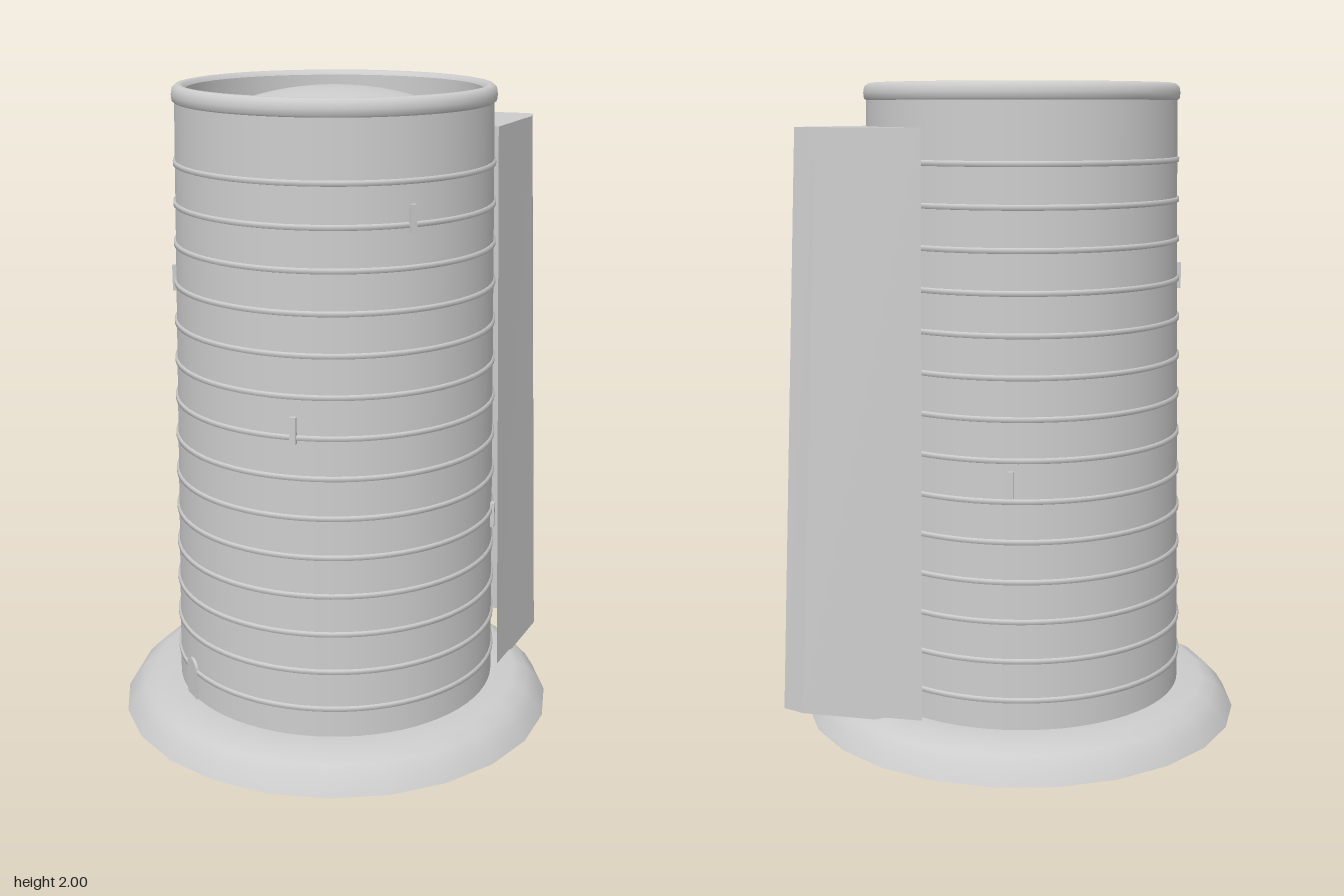
import * as THREE from 'three';

const CX = -0.055; // tower axis
const bodyRadius = (y) => 0.515 - (0.037 * (y - 0.09)) / 1.86;

export function createModel() {
  const model = new THREE.Group();
  const stone = new THREE.MeshStandardMaterial({ color: 0xcccccc, side: THREE.DoubleSide });
  stone.name = 'pale grey stone';

  const add = (name, geometry, parent) => {
    const mesh = new THREE.Mesh(geometry, stone);
    mesh.name = name;
    parent.add(mesh);
    return mesh;
  };
  const lathe = (points, segments) =>
    new THREE.LatheGeometry(points.map(([r, y]) => new THREE.Vector2(r, y)), segments);

  const tower = new THREE.Group();
  tower.name = 'tower';
  tower.position.x = CX;
  model.add(tower);

  // Tapered shaft with a closed underside
  add('shaft', lathe([[bodyRadius(0.09), 0.09], [bodyRadius(1.95), 1.95]], 72), tower);
  const underside = add('shaftUnderside', new THREE.CircleGeometry(0.515, 72), tower);
  underside.rotation.x = Math.PI / 2;
  underside.position.y = 0.09;

  // Rounded rim and its inner wall
  add('rim', lathe([[0.477, 1.947], [0.485, 1.953], [0.487, 1.97], [0.484, 1.988], [0.473, 1.998],
    [0.462, 2], [0.452, 1.996], [0.445, 1.985]], 72), tower);
  add('rimInnerWall', lathe([[0.445, 1.985], [0.445, 1.78]], 72), tower);

  // Shallow domed roof sunk inside the rim
  const dome = add('domedRoof', new THREE.SphereGeometry(0.445, 64, 16, 0, Math.PI * 2, 0, Math.PI / 2), tower);
  dome.scale.y = 0.2 / 0.445;
  dome.position.y = 1.79;

  // Evenly spaced raised bands
  for (let i = 0; i < 14; i++) {
    const y = 0.192 + i * 0.1214;
    const r = bodyRadius(y);
    const h = 0.009;
    add('band' + (i + 1), lathe([[r - 0.002, y - h], [r + 0.006, y - h * 0.7],
      [r + 0.006, y + h * 0.7], [r - 0.002, y + h]], 72), tower);
  }

  // Flared open skirt and the square footing beneath
  add('skirt', lathe([[0.697, 0], [0.672, 0.042], [0.64, 0.076], [0.595, 0.099], [0.512, 0.1]], 24), tower);
  add('footing', new THREE.BoxGeometry(0.57, 0.09, 0.57), tower).position.y = 0.047;

  // Window slits: x, z direction from the axis and height
  const slits = [[-0.015, 0.49, 1.667], [-0.335, 0.37, 1.065], [0.39, 0.33, 0.66],
    [0.235, -0.45, 0.85], [-0.445, -0.22, 1.41]];
  slits.forEach(([x, z, y], i) => {
    const angle = Math.atan2(x, z);
    const r = bodyRadius(y) + 0.003;
    const slit = add('windowSlit' + (i + 1), new THREE.BoxGeometry(0.02, 0.08, 0.018), tower);
    slit.position.set(Math.sin(angle) * r, y, Math.cos(angle) * r);
    slit.rotation.y = angle;
  });

  // Arched door on the side opposite the buttress
  const arch = new THREE.Shape();
  arch.moveTo(-0.035, 0);
  arch.lineTo(0.035, 0);
  arch.lineTo(0.035, 0.095);
  arch.absarc(0, 0.095, 0.035, 0, Math.PI, false);
  arch.lineTo(-0.035, 0);
  const door = add('door', new THREE.ExtrudeGeometry(arch, { depth: 0.009, bevelEnabled: false, curveSegments: 8 }), tower);
  door.rotation.y = -Math.PI / 2;
  door.position.set(-0.511, 0.1, 0);

  // Wedge buttress: pointed plan lofted from bottom to top, open below
  const bottom = [[0.4, 0.285], [0.707, 0.063], [0.75, 0], [0.707, -0.063], [0.4, -0.285]];
  const top = [[0.37, 0.25], [0.625, 0.06], [0.67, 0], [0.625, -0.06], [0.37, -0.25]];
  const corner = (plan, i, y) => [plan[i][0], y, plan[i][1]];
  const verts = [];
  for (let i = 0; i < 4; i++) {
    const a = corner(bottom, i, 0.09), b = corner(bottom, i + 1, 0.09);
    const c = corner(top, i + 1, 1.87), d = corner(top, i, 1.87);
    verts.push(...a, ...b, ...c, ...a, ...c, ...d);
  }
  for (let i = 1; i < 4; i++) {
    verts.push(...corner(top, 0, 1.87), ...corner(top, i, 1.87), ...corner(top, i + 1, 1.87));
  }
  const wedge = new THREE.BufferGeometry();
  wedge.setAttribute('position', new THREE.Float32BufferAttribute(verts, 3));
  wedge.computeVertexNormals();
  add('buttress', wedge, model);

  return model;
}
